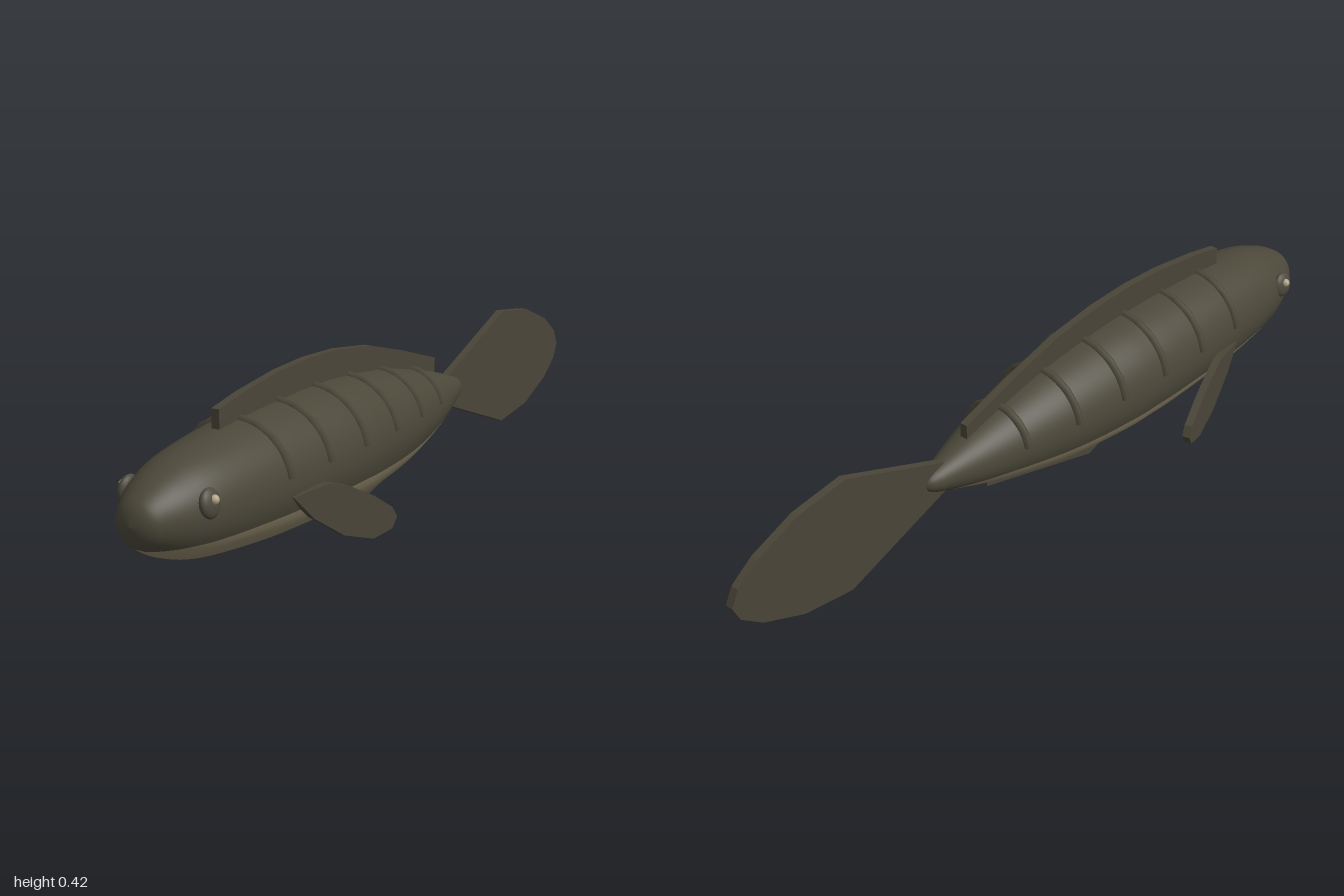
import * as THREE from 'three';

const AXIS_Y = 0.203;

const mat = (name, color) => {
  const m = new THREE.MeshStandardMaterial({ color });
  m.name = name;
  return m;
};

// Body radius along z, nose to tail
const profile = new THREE.SplineCurve([
  [1, 0], [0.99, 0.034], [0.965, 0.06], [0.9, 0.093], [0.8, 0.12], [0.6, 0.141],
  [0.4, 0.149], [0.3, 0.149], [0.2, 0.146], [0, 0.125], [-0.2, 0.083],
  [-0.33, 0.045], [-0.395, 0.022], [-0.412, 0],
].map(p => new THREE.Vector2(...p))).getPoints(78);

function radiusAt(z) {
  const i = profile.findIndex(p => p.x <= z);
  const a = profile[i - 1], b = profile[i];
  return THREE.MathUtils.mapLinear(z, a.x, b.x, a.y, b.y);
}

// Angle below the horizontal at which the back meets the belly
function seamAngle(z, r) {
  const drop = 0.059 - 0.026 * THREE.MathUtils.smoothstep(-z, -0.15, 0.38);
  return r <= drop ? Math.PI / 2 : Math.asin(drop / r);
}

// Strip of the body skin between two angles given per cross-section
function skin(range, cols) {
  const pos = [], idx = [];
  profile.forEach(({ x: z, y }, i) => {
    const r = Math.max(y, 0.0001);
    const [from, to] = range(seamAngle(z, r));
    for (let j = 0; j <= cols; j++) {
      const t = from + (to - from) * j / cols;
      pos.push(r * Math.cos(t), AXIS_Y + r * Math.sin(t), z);
      if (i && j) {
        const d = i * (cols + 1) + j, c = d - 1, b = d - cols - 1, a = b - 1;
        idx.push(a, c, b, b, c, d);
      }
    }
  });
  const g = new THREE.BufferGeometry();
  g.setAttribute('position', new THREE.Float32BufferAttribute(pos, 3));
  g.setIndex(idx);
  g.computeVertexNormals();
  return g;
}

// Flat fin from a [z, y] outline, centred on x = 0
function finGeometry(points, thickness = 0.02) {
  const shape = new THREE.Shape(points.map(([z, y]) => new THREE.Vector2(-z, y)));
  const g = new THREE.ExtrudeGeometry(shape, { depth: thickness, bevelEnabled: false });
  return g.translate(0, 0, -thickness / 2).rotateY(Math.PI / 2);
}

export function createModel() {
  const model = new THREE.Group();
  model.name = 'fish';
  const back = mat('darkOlive', 0x4b4739);
  const finMat = mat('finOlive', 0x4a4538);
  const pale = mat('paleBelly', 0x91866a);
  const eyeMat = mat('eyeGrey', 0x4d493e);
  const glint = mat('eyeGlint', 0xb0a688);

  const add = (name, geometry, material, parent = model) => {
    const m = new THREE.Mesh(geometry, material);
    m.name = name;
    parent.add(m);
    return m;
  };

  // Body
  add('back', skin(a => [-a, Math.PI + a], 36), back);
  add('belly', skin(a => [Math.PI + a, 2 * Math.PI - a], 20), pale);

  // Raised bands over the back
  for (let i = 0; i < 6; i++) {
    const z = 0.61 - i * 0.152;
    const band = add('backBand', new THREE.TorusGeometry(radiusAt(z), 0.011, 6, 8, Math.PI * 160 / 180), back);
    band.position.set(0, AXIS_Y, z);
    band.rotation.z = Math.PI / 18;
  }

  // Midline fins
  add('dorsalFin', finGeometry([
    [0.69, 0.32], [0.69, 0.38], [0.6, 0.397], [0.45, 0.415], [0.33, 0.42], [0.2, 0.415],
    [0.05, 0.395], [-0.1, 0.355], [-0.27, 0.303], [-0.27, 0.24],
  ]), finMat);
  add('tailFin', finGeometry([
    [-0.33, 0.235], [-0.655, 0.355], [-0.8, 0.335], [-0.92, 0.287], [-0.98, 0.243], [-1, 0.203],
    [-0.98, 0.163], [-0.92, 0.119], [-0.8, 0.071], [-0.655, 0.053], [-0.33, 0.168],
  ]), finMat);
  add('bellyFin', finGeometry([
    [0.33, 0.09], [0.33, 0.052], [0.18, 0], [-0.205, 0.1], [-0.205, 0.135], [0, 0.11],
  ]), finMat);

  // Paired side fins, outlines measured back from the root
  const sideFin = finGeometry([
    [0.03, 0.185], [-0.08, 0.195], [-0.14, 0.175], [-0.21, 0.14], [-0.27, 0.1], [-0.285, 0.075],
    [-0.27, 0.05], [-0.21, 0.039], [-0.12, 0.067], [-0.03, 0.125],
  ]);
  for (const s of [1, -1]) {
    const name = s > 0 ? 'left' : 'right';
    const fin = add(name + 'SideFin', sideFin, finMat);
    fin.position.set(s * 0.142, 0, 0.58);
    fin.rotation.y = -s * 0.265;

    // Eye with a small bright spot
    const eye = add(name + 'Eye', new THREE.SphereGeometry(1, 20, 14), eyeMat);
    eye.scale.set(0.015, 0.033, 0.032);
    eye.position.set(s * 0.103, 0.234, 0.865);
    eye.rotation.z = s * 0.16;
    const spot = add(name + 'EyeSpot', new THREE.SphereGeometry(0.011, 12, 8), glint);
    spot.position.set(s * 0.114, 0.243, 0.864);
  }
  return model;
}
